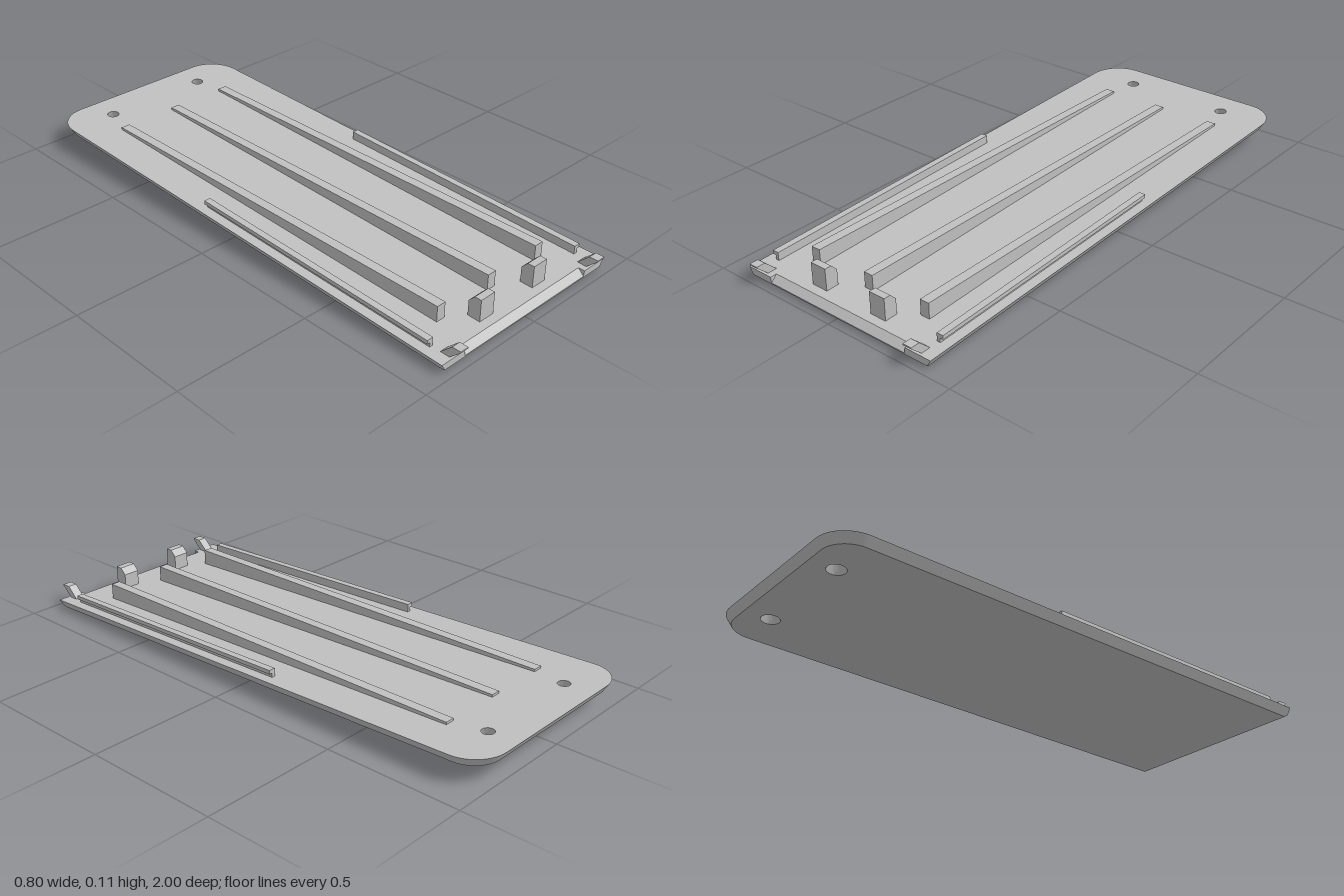
import * as THREE from 'three';
import { toCreasedNormals } from 'three/addons/utils/BufferGeometryUtils.js';

const THICK = 0.033, FRONT = 0.97, BACK = -1, HALF = 0.4, CORNER = 0.12;
const HOLE = { x: 0.21, z: -0.885, r: 0.022 };
const NOTCH = { x: 0.297, z: 0.946 };

// height of the sloping top face at a given z
const top = (z) => THICK + 0.0308 * (FRONT - z);

// prism with a side profile of [z, y] points, extruded along x
function prism(points, x, width) {
  const shape = new THREE.Shape(points.map(([z, y]) => new THREE.Vector2(z, y)));
  const g = new THREE.ExtrudeGeometry(shape, { depth: width, bevelEnabled: false });
  g.translate(0, 0, -width / 2).rotateY(-Math.PI / 2).translate(x, 0, 0);
  return g;
}

// bar that follows the slope between two heights above the top face
const slopedBar = (z0, z1, h0, h1, x, width) => prism(
  [[z0, top(z0) + h0], [z1, top(z1) + h0], [z1, top(z1) + h1], [z0, top(z0) + h1]], x, width);

function plateGeometry() {
  const s = new THREE.Shape();
  s.moveTo(-HALF, -FRONT);
  s.lineTo(-NOTCH.x, -FRONT);
  s.lineTo(-NOTCH.x, -NOTCH.z);
  s.lineTo(NOTCH.x, -NOTCH.z);
  s.lineTo(NOTCH.x, -FRONT);
  s.lineTo(HALF, -FRONT);
  s.lineTo(HALF, -BACK - CORNER);
  s.absarc(HALF - CORNER, -BACK - CORNER, CORNER, 0, Math.PI / 2, false);
  s.lineTo(-HALF + CORNER, -BACK);
  s.absarc(-HALF + CORNER, -BACK - CORNER, CORNER, Math.PI / 2, Math.PI, false);
  s.closePath();
  for (const side of [-1, 1]) {
    s.holes.push(new THREE.Path().absarc(side * HOLE.x, -HOLE.z, HOLE.r, 0, Math.PI * 2, true));
  }
  const g = new THREE.ExtrudeGeometry(s, { depth: THICK, steps: 4, bevelEnabled: false, curveSegments: 12 });
  g.rotateX(-Math.PI / 2);

  // slant the edges inward below, countersink the holes and slope the plate
  const p = g.attributes.position;
  for (let i = 0; i < p.count; i++) {
    let x = p.getX(i), z = p.getZ(i);
    const y = p.getY(i), t = 1 - y / THICK;
    const hx = Math.sign(x) * HOLE.x;
    if (Math.hypot(x - hx, z - HOLE.z) < HOLE.r * 1.2) {
      const k = 1 + 0.5 * t;
      x = hx + (x - hx) * k;
      z = HOLE.z + (z - HOLE.z) * k;
    } else {
      const cx = THREE.MathUtils.clamp(x, -HALF + CORNER, HALF - CORNER);
      const cz = Math.max(z, BACK + CORNER);
      const k = 1 - 0.17 * t;
      x = cx + (x - cx) * k;
      z = cz + (z - cz) * k;
      if (z > 0.96 && t > 0.99) z -= 0.012;
    }
    p.setXYZ(i, x, y + top(z) - THICK, z);
  }
  return toCreasedNormals(g, 0.5);
}

export function createModel() {
  const group = new THREE.Group();
  const grey = new THREE.MeshStandardMaterial({ color: 0xc0c0c0 });
  grey.name = 'plain grey';
  const add = (name, geometry) => {
    const mesh = new THREE.Mesh(geometry, grey);
    mesh.name = name;
    group.add(mesh);
  };

  add('coverPlate', plateGeometry());

  // chamfered middle of the front edge
  add('frontLip', prism([
    [NOTCH.z, 0.001], [0.958, 0.0004], [FRONT, 0.008], [FRONT, 0.0125], [NOTCH.z, top(NOTCH.z)],
  ], 0, NOTCH.x * 2));

  // three wedge ribs with level tops
  for (const x of [-0.24, 0, 0.24]) {
    add('rib', prism([
      [-0.765, top(-0.765) - 0.004], [0.825, top(0.825) - 0.004], [0.825, 0.095], [-0.765, 0.095],
    ], x, 0.036));
  }

  for (const side of [-1, 1]) {
    // side rail: a stem with a lip hanging outward
    add('railStem', slopedBar(-0.13, 0.89, -0.004, 0.016, side * 0.3565, 0.013));
    add('railLip', slopedBar(-0.13, 0.89, 0.016, 0.03, side * 0.3625, 0.025));

    // upright catch, sloped at the back of its top
    add('catch', prism([
      [0.865, 0.032], [0.913, 0.032], [0.913, 0.115], [0.887, 0.115], [0.865, 0.092],
    ], side * 0.129, 0.064));

    // tab leaning out over the front edge
    add('frontTab', prism([
      [0.922, 0.032], [0.958, 0.032], [1, 0.07], [1, 0.075], [0.967, 0.075],
    ], side * 0.338, 0.034));
  }
  return group;
}
